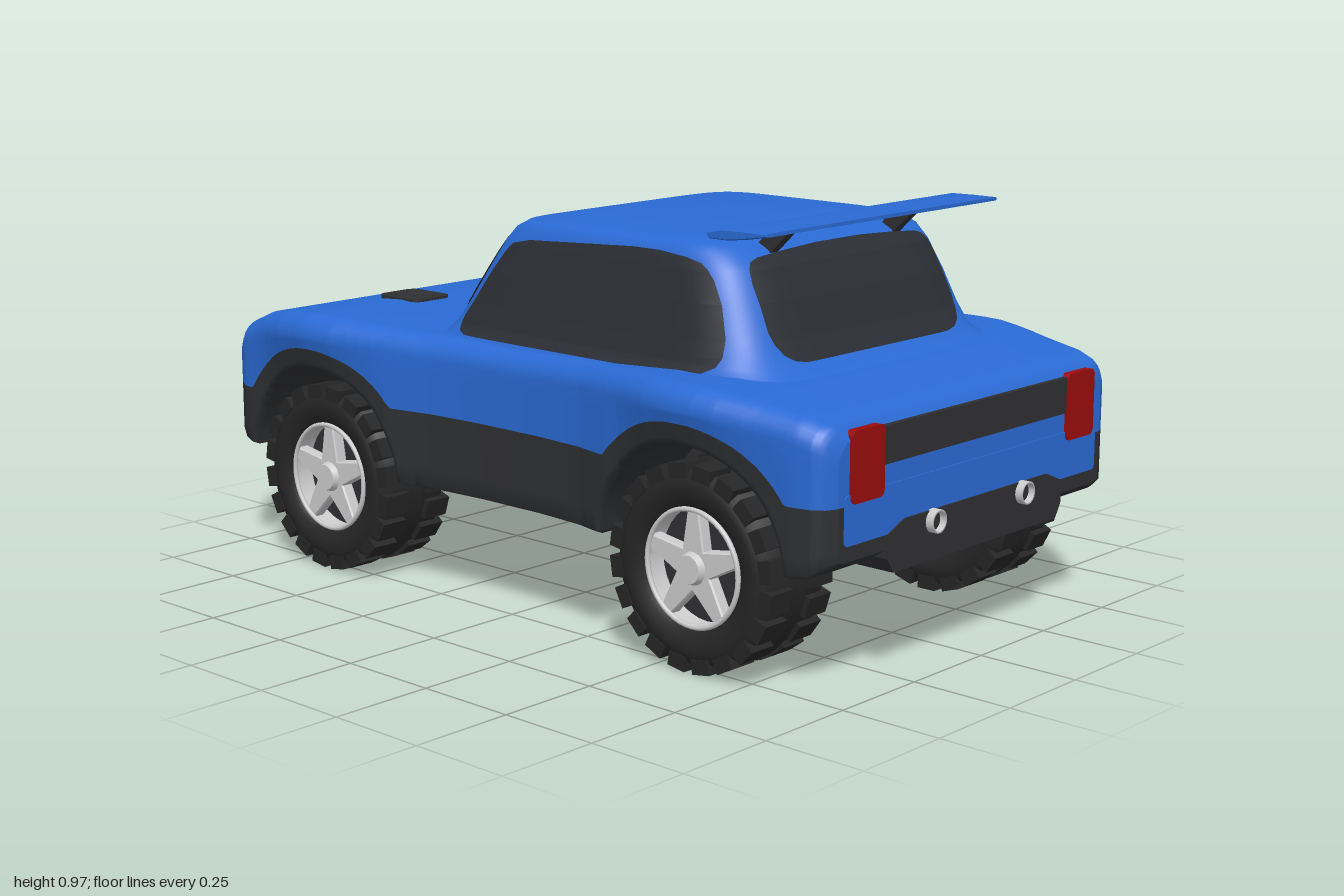
import * as THREE from 'three';
import { toCreasedNormals } from 'three/addons/utils/BufferGeometryUtils.js';

const V = (x, y, z) => new THREE.Vector3(x, y, z);
const mat = (color) => new THREE.MeshStandardMaterial({ color, side: THREE.DoubleSide });
const blue = mat(0x2a6ad4), trim = mat(0x2f3032), glass = mat(0x2b2e34);
const rubber = mat(0x262626), red = mat(0x9a0d0d), grey = mat(0xcccccc);

// Linear look-up in rows of [key, value...]
function look(table, key, col = 1) {
  let i = 1;
  while (i < table.length - 1 && table[i][0] < key) i++;
  const a = table[i - 1], b = table[i];
  const t = THREE.MathUtils.clamp((key - a[0]) / (b[0] - a[0]), 0, 1);
  return a[col] + (b[col] - a[col]) * t;
}

// Smooth surface through rows of points
function grid(rows) {
  const n = rows[0].length, idx = [];
  for (let i = 0; i < rows.length - 1; i++)
    for (let j = 0; j < n - 1; j++) {
      const a = i * n + j, d = a + n;
      idx.push(a, a + 1, d, a + 1, d + 1, d);
    }
  const g = new THREE.BufferGeometry().setFromPoints(rows.flat());
  g.setIndex(idx);
  g.computeVertexNormals();
  return g;
}

function add(parent, name, geometry, material, x = 0, y = 0, z = 0) {
  const m = new THREE.Mesh(geometry, material);
  m.name = name;
  m.position.set(x, y, z);
  parent.add(m);
  return m;
}

// Thin plate with rounded corners, facing z
function plate(w, h, r, d) {
  const s = new THREE.Shape(), a = w / 2 - r, b = h / 2 - r;
  s.absarc(a, b, r, 0, Math.PI / 2).absarc(-a, b, r, Math.PI / 2, Math.PI);
  s.absarc(-a, -b, r, Math.PI, Math.PI * 1.5).absarc(a, -b, r, Math.PI * 1.5, Math.PI * 2);
  return new THREE.ExtrudeGeometry(s, { depth: d, bevelEnabled: false, curveSegments: 6 }).translate(0, 0, -d / 2);
}

// Lower body tables along z: half width, deck height, underside height
const AXLES = [0.6, -0.63], AXLE_Y = 0.238, ARCH = 0.28, LIP = 0.335;
const WIDTH = [[-0.995, 0.49], [-0.98, 0.522], [-0.94, 0.545], [-0.85, 0.562], [-0.75, 0.587], [-0.65, 0.597], [-0.55, 0.589],
  [-0.4, 0.553], [-0.25, 0.525], [-0.1, 0.515], [0.1, 0.515], [0.25, 0.526], [0.4, 0.56], [0.5, 0.586], [0.6, 0.597],
  [0.7, 0.588], [0.8, 0.566], [0.9, 0.549], [0.94, 0.54], [0.963, 0.522], [0.975, 0.495]];
const DECK = [[-0.995, 0.53], [-0.985, 0.565], [-0.95, 0.595], [-0.85, 0.633], [-0.75, 0.651], [-0.63, 0.66], [-0.45, 0.651],
  [-0.3, 0.643], [0, 0.64], [0.3, 0.648], [0.5, 0.658], [0.65, 0.655], [0.75, 0.643], [0.9, 0.62], [0.955, 0.602], [0.975, 0.575]];
const BELLY = [[-0.995, 0.31], [-0.93, 0.285], [-0.85, 0.265], [0.85, 0.265], [0.93, 0.28], [0.975, 0.31]];

const arch = (z, r) => Math.max(...AXLES.map((c) => AXLE_Y + Math.sqrt(Math.max(0, r * r - (z - c) ** 2))));
const belly = (z) => Math.max(look(BELLY, z), arch(z, ARCH));
const cladding = (z) => Math.max(Math.abs(z) < 0.6 ? 0.455 : 0.432, arch(z, LIP));
function sideX(z, y) {
  const w = look(WIDTH, z);
  return w - THREE.MathUtils.clamp((0.6 - y) / 0.17, 0, 1) * Math.max(0, w - 0.55);
}

function stations() {
  const zs = [...WIDTH, ...DECK].map((r) => r[0]);
  for (let z = -0.95; z < 0.96; z += 0.05) zs.push(z);
  for (const c of AXLES)
    for (let k = 0; k <= 24; k++) for (const r of [ARCH, LIP]) {
      const z = c + r * Math.cos((k * Math.PI) / 24);
      if (z > -0.995 && z < 0.975) zs.push(z);
    }
  zs.sort((a, b) => a - b);
  return zs.filter((z, i) => i === 0 || z - zs[i - 1] > 0.0005);
}

// Flat end faces: repeat the end section, then fold it to the centre line
function capEnds(rows) {
  const fold = (r) => r.map((p) => V(0, p.y, p.z)), copy = (r) => r.map((p) => p.clone());
  const a = rows[0], b = rows[rows.length - 1];
  return [fold(a), copy(a), ...rows, copy(b), fold(b)];
}

function upperSection(z) {
  const yt = look(DECK, z), w = look(WIDTH, z), yc = cladding(z), r = 0.055, half = [];
  for (let k = 0; k < 4; k++) {
    const y = THREE.MathUtils.lerp(yc, yt - r, k / 4);
    half.push(V(sideX(z, y), y, z));
  }
  const xs = sideX(z, yt - r);
  for (let k = 0; k <= 6; k++) {
    const a = (k * Math.PI) / 12;
    half.push(V(xs - r + r * Math.cos(a), yt - r + r * Math.sin(a), z));
  }
  half.push(V(w * 0.6, yt, z), V(w * 0.3, yt, z));
  return [...half, V(0, yt, z), ...half.map((p) => V(-p.x, p.y, z)).reverse()];
}

function lowerSection(z, s) {
  const yb = belly(z), yc = cladding(z), pts = [V(0, yb, z), V(s * (sideX(z, yb) - 0.02), yb, z)];
  for (let k = 0; k <= 4; k++) {
    const y = THREE.MathUtils.lerp(yb + 0.008, yc, k / 4);
    pts.push(V(s * sideX(z, y), y, z));
  }
  return pts;
}

// Cabin rows: height, half width, nose-side z, tail-side z
const CABIN = [[0.6, 0.5, -0.42, 0.82], [0.64, 0.474, -0.345, 0.745], [0.67, 0.454, -0.315, 0.695], [0.72, 0.439, -0.28, 0.667],
  [0.8, 0.42, -0.23, 0.632], [0.87, 0.402, -0.185, 0.595], [0.905, 0.39, -0.155, 0.565], [0.923, 0.375, -0.122, 0.53],
  [0.932, 0.345, -0.075, 0.475], [0.939, 0.23, 0, 0.4], [0.944, 0.1, 0.1, 0.3], [0.945, 0.001, 0.199, 0.201]];
const POW = 7;
const cabinAt = (y) => {
  const f = look(CABIN, y, 2), b = look(CABIN, y, 3);
  return { w: look(CABIN, y), c: (f + b) / 2, l: (b - f) / 2 };
};
const round = (t) => Math.pow(Math.max(0, 1 - Math.pow(Math.abs(t), POW)), 1 / POW);

function cabinRing(y) {
  const { w, c, l } = cabinAt(y), ring = [];
  const p = (v) => Math.sign(v) * Math.pow(Math.abs(v), 2 / POW);
  for (let k = 0; k <= 96; k++) {
    const a = (k * Math.PI) / 48;
    ring.push(V(w * p(Math.cos(a)), y, c - l * p(Math.sin(a))));
  }
  return ring;
}

// Window that hugs the cabin; rows of [y, start, end], place(a, y) gives the point
function pane(outline, place) {
  const rows = [], y0 = outline[0][0], y1 = outline[outline.length - 1][0];
  const ys = [...outline, ...CABIN].map((r) => r[0]).filter((y) => y >= y0 && y <= y1);
  for (let k = 0; k <= 20; k++) ys.push(THREE.MathUtils.lerp(y0, y1, k / 20));
  for (const y of [...new Set(ys)].sort((a, b) => a - b)) {
    const a = look(outline, y, 1), b = look(outline, y, 2);
    rows.push(Array.from({ length: 25 }, (_, k) => place(a + ((b - a) * k) / 24, y)));
  }
  return grid(rows);
}
const onSide = (s) => (z, y) => { const { w, c, l } = cabinAt(y); return V(s * (w * round((z - c) / l) + 0.005), y + 0.001, z); };
const onEnd = (s) => (x, y) => { const { w, c, l } = cabinAt(y); return V(x, y + 0.002, c + s * (l * round(x / w) + 0.006)); };

function makeWheel() {
  const wheel = new THREE.Group();
  const axis = (g) => g.rotateZ(-Math.PI / 2);
  const profile = [[0.135, -0.085], [0.15, -0.1], [0.185, -0.105], [0.21, -0.1], [0.223, -0.085], [0.223, 0.085], [0.21, 0.1],
    [0.185, 0.105], [0.15, 0.1], [0.135, 0.085], [0.135, -0.085]].map((p) => new THREE.Vector2(...p));
  add(wheel, 'tyre', axis(toCreasedNormals(new THREE.LatheGeometry(profile, 48), 0.8)), rubber);
  add(wheel, 'treadRib', axis(new THREE.CylinderGeometry(0.232, 0.232, 0.03, 48, 1, true)), rubber);
  // Staggered lugs wrap over both shoulders
  for (const s of [-1, 1]) for (let k = 0; k < 20; k++) {
    const lug = add(wheel, 'treadLug', new THREE.BoxGeometry(0.072, 0.034, 0.05), rubber);
    const a = ((k + (s > 0 ? 0.5 : 0)) * Math.PI) / 10;
    lug.position.set(s * 0.068, 0.219 * Math.cos(a), 0.219 * Math.sin(a));
    lug.rotation.x = a;
  }
  add(wheel, 'rimBarrel', axis(new THREE.CylinderGeometry(0.134, 0.134, 0.18, 40, 1, true)), grey);
  add(wheel, 'rimLip', new THREE.TorusGeometry(0.133, 0.006, 8, 48).rotateY(Math.PI / 2), grey, 0.092);
  add(wheel, 'brakeDisc', axis(new THREE.CylinderGeometry(0.132, 0.132, 0.02, 32)), trim, 0.03);
  // Five tapered spokes as one star
  const star = new THREE.Shape(), polar = (r, a) => new THREE.Vector2(r * Math.sin(a), r * Math.cos(a));
  const pts = [];
  for (let k = 0; k < 5; k++) {
    const a = (k * Math.PI * 2) / 5;
    pts.push(polar(0.132, a - 0.1), polar(0.132, a + 0.1), polar(0.048, a + Math.PI / 5));
  }
  star.setFromPoints(pts);
  const starGeo = new THREE.ExtrudeGeometry(star, { depth: 0.025, bevelSize: 0.003, bevelThickness: 0.004, bevelSegments: 1 });
  add(wheel, 'spokes', starGeo.rotateY(Math.PI / 2), grey, 0.062);
  add(wheel, 'hub', axis(new THREE.CylinderGeometry(0.032, 0.04, 0.02, 24)), grey, 0.096);
  return wheel;
}

export function createModel() {
  const car = new THREE.Group();
  car.name = 'car';
  const zs = stations();

  add(car, 'body', grid(capEnds(zs.map(upperSection))), blue);
  for (const s of [1, -1]) add(car, 'cladding', grid(capEnds(zs.map((z) => lowerSection(z, s)))), trim);
  add(car, 'chassis', new THREE.BoxGeometry(0.62, 0.24, 1.8), trim, 0, 0.381, 0);
  add(car, 'cabin', grid(CABIN.map((r) => cabinRing(r[0]))), blue);

  // Windows
  const sideRows = [[0.648, 0.5, -0.19], [0.655, 0.56, -0.215], [0.67, 0.59, -0.225], [0.69, 0.6, -0.22], [0.73, 0.595, -0.195],
    [0.8, 0.57, -0.15], [0.85, 0.54, -0.112], [0.872, 0.52, -0.09], [0.885, 0.5, -0.03], [0.895, 0.46, 0.15], [0.903, 0.38, 0.3]];
  for (const s of [1, -1]) add(car, 'sideWindow', pane(sideRows, onSide(s)), glass);
  const endRows = [[0.67, 0.26], [0.676, 0.295], [0.69, 0.32], [0.71, 0.333], [0.74, 0.34], [0.84, 0.335], [0.87, 0.328],
    [0.885, 0.315], [0.893, 0.29], [0.9, 0.2], [0.905, 0.08]].map(([y, x]) => [y, -x, x]);
  add(car, 'rearWindow', pane(endRows, onEnd(1)), glass);
  add(car, 'windscreen', pane(endRows.map(([y, a, b]) => [y, a * (1.2 - (y - 0.6) * 0.7), b * (1.2 - (y - 0.6) * 0.7)]), onEnd(-1)), glass);

  // Tail: lower panel, dark band, lamps, diffuser and exhausts
  add(car, 'tailPanel', plate(0.95, 0.11, 0.01, 0.012), blue, 0, 0.4, 0.972);
  add(car, 'tailBand', plate(0.72, 0.085, 0.005, 0.012), trim, 0, 0.543, 0.973);
  const diffuser = new THREE.Shape([[-0.31, 0.257], [0.31, 0.257], [0.33, 0.29], [0.33, 0.345], [0.27, 0.37], [-0.27, 0.37],
    [-0.33, 0.345], [-0.33, 0.29]].map((p) => new THREE.Vector2(...p)));
  add(car, 'diffuser', new THREE.ExtrudeGeometry(diffuser, { depth: 0.1, bevelEnabled: false }), trim, 0, 0, 0.882);
  for (const s of [1, -1]) {
    add(car, 'tailLamp', plate(0.112, 0.158, 0.015, 0.02), red, s * 0.402, 0.513, 0.972);
    const pipe = [[0.022, 0], [0.022, 0.08], [0.027, 0.08], [0.027, 0]].map((p) => new THREE.Vector2(...p));
    add(car, 'exhaust', new THREE.LatheGeometry(pipe, 24).rotateX(Math.PI / 2), grey, s * 0.17, 0.346, 0.92);
    add(car, 'exhaustInside', new THREE.CircleGeometry(0.023, 24), trim, s * 0.17, 0.346, 0.985);
    // Nose lamps and bonnet vents
    add(car, 'headlamp', plate(0.19, 0.08, 0.022, 0.012), grey, s * 0.335, 0.478, -0.994);
    add(car, 'bonnetVent', plate(0.125, 0.148, 0.025, 0.012).rotateX(-Math.PI / 2), trim, s * 0.218, 0.658, -0.645);
  }
  add(car, 'nosePanel', plate(0.95, 0.11, 0.01, 0.012), blue, 0, 0.4, -0.991);
  add(car, 'grille', plate(0.38, 0.095, 0.04, 0.012), trim, 0, 0.47, -0.994);

  // Rear wing on two slanted struts, drawn in the z-y plane
  const slab = (pts, width, bevel) => new THREE.ExtrudeGeometry(new THREE.Shape(pts.map((p) => new THREE.Vector2(...p))),
    { depth: width, bevelEnabled: bevel > 0, bevelSize: 0.003, bevelThickness: bevel, bevelSegments: 3 })
    .translate(0, 0, -width / 2).rotateY(-Math.PI / 2);
  const wing = [[0.543, 0.961], [0.552, 0.952], [0.6, 0.952], [0.65, 0.958], [0.712, 0.969], [0.712, 0.972], [0.65, 0.972], [0.59, 0.971]];
  add(car, 'rearWing', toCreasedNormals(slab(wing, 0.83, 0.01), 0.7), blue);
  for (const s of [1, -1])
    add(car, 'wingStrut', slab([[0.515, 0.9], [0.56, 0.89], [0.632, 0.958], [0.575, 0.958]], 0.026, 0), trim, s * 0.225);

  // Wheels, mirrored by a half turn
  for (const s of [1, -1]) for (const z of AXLES) {
    const wheel = makeWheel();
    wheel.name = z > 0 ? 'rearWheel' : 'frontWheel';
    wheel.position.set(s * 0.438, AXLE_Y, z);
    if (s < 0) wheel.rotation.y = Math.PI;
    car.add(wheel);
  }
  return car;
}
